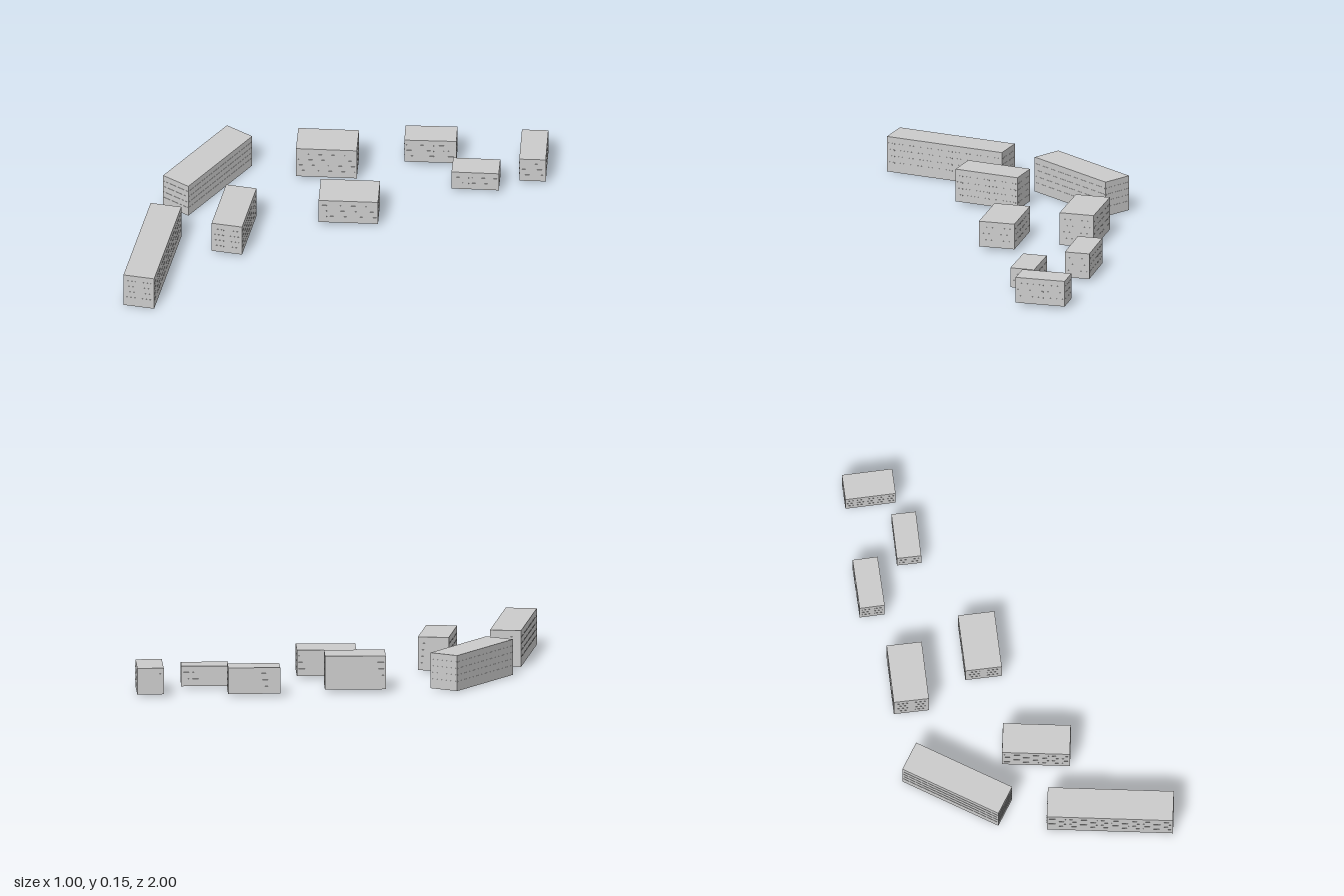
import * as THREE from 'three';

const material = new THREE.MeshStandardMaterial({ color: 0xcccccc, flatShading: true });
const STOREY = 0.027;

// Box with its centre at the given point
function box(name, w, h, d, x, y, z) {
  const mesh = new THREE.Mesh(new THREE.BoxGeometry(w, h, d), material);
  mesh.name = name;
  mesh.position.set(x, y, z);
  return mesh;
}

// One apartment block: (dx, dz) is the direction and length of its long side
function building({ x, z, dx, dz, depth, base, top, ribbon }) {
  const group = new THREE.Group();
  group.name = 'building';
  const length = Math.hypot(dx, dz);
  group.add(box('walls', length, top - base, depth, 0, (base + top) / 2, 0));

  // Thin window strips in one row per storey, on all four walls
  for (let y = 0.041; y < top - 0.015; y += STOREY) {
    for (const side of [-1, 1]) {
      const count = ribbon ? 1 : Math.round(length / 0.042);
      const pitch = length / count;
      const width = ribbon ? length * 0.98 : pitch * 0.65;
      for (let i = 0; i < count; i++) {
        const u = (i + 0.5) * pitch - length / 2;
        group.add(box('longWallWindow', width, 0.004, 0.002, u, y, side * depth / 2));
      }
      for (const u of ribbon ? [0] : [-0.25, 0.25]) {
        const w = depth * (ribbon ? 0.95 : 0.3);
        group.add(box('endWallWindow', 0.002, 0.004, w, side * length / 2, y, u * depth));
      }
    }
  }
  group.position.set(x, 0, z);
  group.rotation.y = Math.atan2(-dz, dx);
  return group;
}

export function createModel() {
  const model = new THREE.Group();
  model.name = 'housingEstate';
  const plots = [
    { x: -0.085, z: 0.755, dx: 0.31, dz: 0.41, depth: 0.128, base: 0, top: 0.15 },
    { x: -0.39, z: 0.199, dx: 0.097, dz: 0.425, depth: 0.128, base: 0.003, top: 0.15, ribbon: true },
    { x: -0.055, z: 0.343, dx: 0.167, dz: 0.22, depth: 0.127, base: 0.012, top: 0.15 },
    { x: -0.16, z: -0.247, dx: 0.173, dz: -0.178, depth: 0.144, base: 0.012, top: 0.15 },
    { x: 0.138, z: -0.11, dx: 0.168, dz: -0.175, depth: 0.15, base: 0.012, top: 0.12 },
    { x: 0.05, z: -0.622, dx: 0.145, dz: -0.155, depth: 0.103, base: 0.012, top: 0.12 },
    { x: 0.314, z: -0.638, dx: 0.135, dz: -0.138, depth: 0.1, base: 0.012, top: 0.095 },
    { x: 0.382, z: -0.89, dx: 0.15, dz: 0.142, depth: 0.108, base: 0.012, top: 0.12 },
  ];
  for (const plot of plots) model.add(building(plot));
  return model;
}
